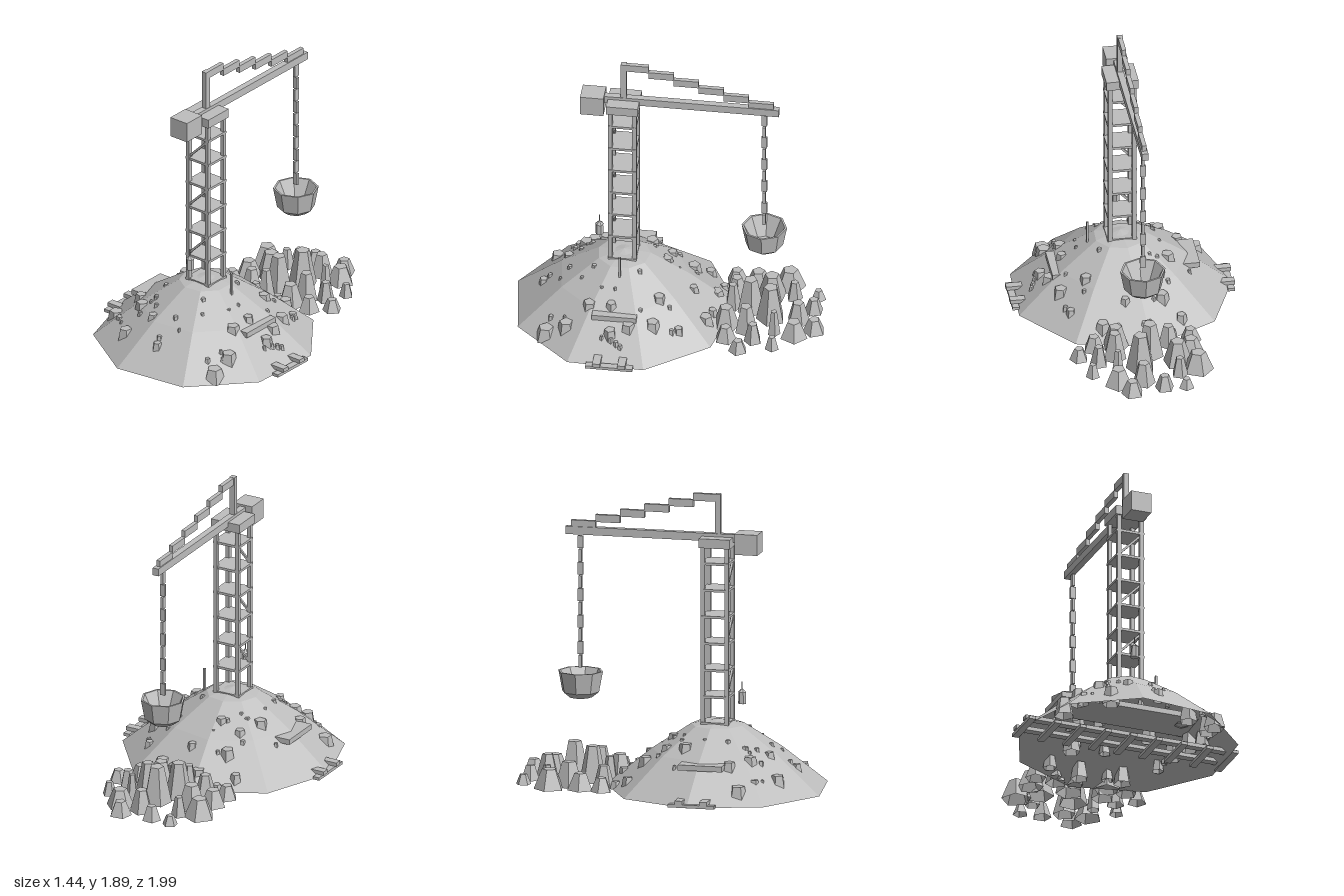
import * as THREE from 'three';

const stone = new THREE.MeshStandardMaterial({ color: 0xbebebe, flatShading: true, side: THREE.DoubleSide });
stone.name = 'plain grey';

const MOUND_Z = 0.3, BOOM_Y = 1.61, HOOK_Z = -0.595;
const moundProfile = [[0.715, 0], [0.42, 0.24], [0.17, 0.405], [0, 0.44]];

function add(parent, name, geometry, x = 0, y = 0, z = 0) {
  const mesh = new THREE.Mesh(geometry, stone);
  mesh.name = name;
  mesh.position.set(x, y, z);
  parent.add(mesh);
  return mesh;
}

// Box given by its extents on each axis
function box(parent, name, x0, x1, y0, y1, z0, z1) {
  return add(parent, name, new THREE.BoxGeometry(x1 - x0, y1 - y0, z1 - z0),
    (x0 + x1) / 2, (y0 + y1) / 2, (z0 + z1) / 2);
}

function lathe(points, sides) {
  return new THREE.LatheGeometry(points.map(p => new THREE.Vector2(...p)), sides);
}

function subGroup(parent, name) {
  const g = new THREE.Group();
  g.name = name;
  parent.add(g);
  return g;
}

// Five-sided tapered rock with a flat top and an open base
function rock(parent, name, x, y, z, rTop, rBase, h, turn) {
  const geo = lathe([[rBase, 0], [rTop, h], [0, h]], 5);
  add(parent, name, geo, x, y, z).rotation.y = turn;
}

// Height of the mound at a distance from its axis
function moundHeight(r) {
  for (let i = 0; i < 3; i++) {
    const [r0, y0] = moundProfile[i], [r1, y1] = moundProfile[i + 1];
    if (r >= r1) return y0 + (y1 - y0) * (r0 - r) / (r0 - r1);
  }
  return 0.44;
}

let seed = 7;
function random() {
  seed = (seed * 16807) % 2147483647;
  return seed / 2147483647;
}

// Rock sunk into the slope, its top just clear of the surface
function slopeRock(parent, name, x, z, r) {
  const top = moundHeight(Math.hypot(x, z - MOUND_Z) * 1.03) + r * 0.45;
  const h = Math.min(r * 2.6, top);
  const out = Math.atan2(x, z - MOUND_Z);
  rock(parent, name, x, top - h, z, r * 0.85, r * 1.3, h, out + (random() - 0.5) * 0.6);
}

function buildMound(model) {
  const g = subGroup(model, 'mound');
  add(g, 'hill', lathe(moundProfile, 9), 0, 0, MOUND_Z).rotation.y = -0.216;

  // Larger stones set into the slope: x, z, radius
  const stones = [
    [-0.31, -0.21, 0.035], [-0.23, -0.31, 0.03], [-0.08, -0.28, 0.045], [-0.2, -0.12, 0.045],
    [0.2, -0.25, 0.045], [0.04, -0.15, 0.03], [-0.21, 0.02, 0.035], [-0.07, 0.03, 0.035],
    [-0.28, 0.16, 0.045], [0.26, 0.04, 0.04], [0.38, -0.1, 0.03], [0.42, 0.06, 0.045],
    [0.47, 0.21, 0.045], [0.51, 0.32, 0.04], [0.36, 0.47, 0.045], [0.44, 0.61, 0.05],
    [0.43, 0.74, 0.055], [0.02, 0.81, 0.03], [-0.28, 0.76, 0.045], [-0.13, 0.67, 0.035],
    [-0.39, 0.47, 0.04], [-0.52, 0.56, 0.05], [-0.29, 0.58, 0.045], [-0.42, 0.64, 0.03],
    [0.11, -0.28, 0.03], [0.37, 0.33, 0.035]];
  for (const [x, z, r] of stones) slopeRock(g, 'slopeStone', x, z, r);

  // Fine gravel
  for (let i = 0; i < 36; i++) {
    const a = random() * Math.PI * 2, d = 0.18 + random() * 0.4;
    slopeRock(g, 'gravel', Math.cos(a) * d, MOUND_Z + Math.sin(a) * d, 0.01 + random() * 0.008);
  }

  // Plank running through the hill at mid height
  box(g, 'plank', -0.49, 0.455, 0.195, 0.23, 0.16, 0.445);

  // Track with sleepers along the bottom
  for (const s of [-1, 1]) {
    const z = MOUND_Z + s * 0.08;
    box(g, 'rail', -0.72, 0.72, 0.02, 0.045, z - 0.025, z + 0.025);
  }
  for (let i = 0; i < 9; i++) {
    const x = -0.69 + i * 0.1725;
    box(g, 'sleeper', x - 0.022, x + 0.022, 0, 0.02, 0.15, 0.45);
  }

  // Marker post
  box(g, 'post', 0.202, 0.216, 0.35, 0.518, 0.293, 0.307);
}

function buildTower(model) {
  const g = subGroup(model, 'tower');
  for (const sx of [-1, 1]) for (const sz of [-1, 1]) {
    const x = sx * 0.077, z = MOUND_Z + sz * 0.077;
    box(g, 'leg', x - 0.013, x + 0.013, 0.4, 1.56, z - 0.013, z + 0.013);
  }
  for (let i = 0; i < 7; i++) {
    const y = 0.42 + i * 0.172;
    box(g, 'deck', -0.094, 0.094, y - 0.008, y + 0.008, MOUND_Z - 0.088, MOUND_Z + 0.088);
  }
  // Diagonal braces in every second bay of the front
  for (let i = 1; i < 7; i += 2) {
    const y = 0.42 + (i + 0.5) * 0.172;
    const brace = add(g, 'brace', new THREE.BoxGeometry(0.2, 0.014, 0.014), 0, y, MOUND_Z + 0.077);
    brace.rotation.z = 0.79;
  }
  box(g, 'topPlatform', -0.103, 0.103, 1.555, 1.615, 0.2, 0.402);

  // Hanging lantern
  const lantern = subGroup(g, 'lantern');
  add(lantern, 'lanternBody', new THREE.CylinderGeometry(0.024, 0.026, 0.075, 6), 0, 0.58, 0.458);
  add(lantern, 'lanternRoof', new THREE.ConeGeometry(0.028, 0.025, 6), 0, 0.63, 0.458);
  add(lantern, 'lanternHanger', new THREE.CylinderGeometry(0.003, 0.003, 0.05, 5), 0, 0.66, 0.458);
}

function buildCrane(model) {
  const g = subGroup(model, 'crane');
  box(g, 'boom', -0.021, 0.021, BOOM_Y - 0.025, BOOM_Y + 0.025, -0.69, 0.45);
  box(g, 'counterweight', -0.068, 0.068, 1.515, 1.648, 0.424, 0.573);
  box(g, 'mast', -0.018, 0.018, 1.62, 1.89, 0.284, 0.32);

  // Stepped stay from the mast to the boom tip
  for (let i = 0; i < 6; i++) {
    const y = 1.864 - i * 0.0425, z = 0.222 - i * 0.1595;
    box(g, 'stay', -0.014, 0.014, y - 0.024, y + 0.024, z - 0.08, z + 0.08);
  }

  // Chain links, every second one turned
  for (let i = 0; i < 10; i++) {
    const link = add(g, 'chainLink', new THREE.BoxGeometry(0.018, 0.08, 0.036), 0, 1.535 - i * 0.0855, HOOK_Z);
    link.rotation.y = (i % 2) * Math.PI / 2;
  }

  // Open bucket with a thin wall
  const bucket = [[0, 0.534], [0.075, 0.534], [0.12, 0.57], [0.145, 0.703],
    [0.132, 0.703], [0.07, 0.575], [0, 0.565]];
  add(g, 'bucket', lathe(bucket, 8), 0, 0, HOOK_Z);
}

function buildRockPile(model) {
  const g = subGroup(model, 'rockPile');
  // x, z, radius
  const rocks = [
    [-0.23, -0.91, 0.05], [-0.09, -0.9, 0.062], [0.12, -0.93, 0.073], [0.03, -0.815, 0.075],
    [0.19, -0.81, 0.09], [-0.335, -0.715, 0.1], [-0.21, -0.76, 0.052], [0.175, -0.68, 0.042],
    [0.335, -0.69, 0.046], [-0.22, -0.615, 0.095], [0.275, -0.56, 0.058], [-0.32, -0.515, 0.085],
    [0.39, -0.48, 0.062], [0.165, -0.5, 0.075], [-0.34, -0.375, 0.07], [-0.195, -0.395, 0.07],
    [-0.07, -0.385, 0.055], [0.14, -0.37, 0.085], [0.28, -0.385, 0.07], [0.02, -0.64, 0.095],
    [-0.06, -0.5, 0.09]];
  for (const [x, z, r] of rocks) {
    const h = Math.max(r * 1.3, 0.285 - 0.55 * Math.hypot(x, z + 0.57));
    rock(g, 'pileRock', x, 0, z, r * 0.48, r, h, random() * 6);
  }
}

export function createModel() {
  const model = new THREE.Group();
  model.name = 'quarryCrane';
  buildMound(model);
  buildTower(model);
  buildCrane(model);
  buildRockPile(model);
  return model;
}
